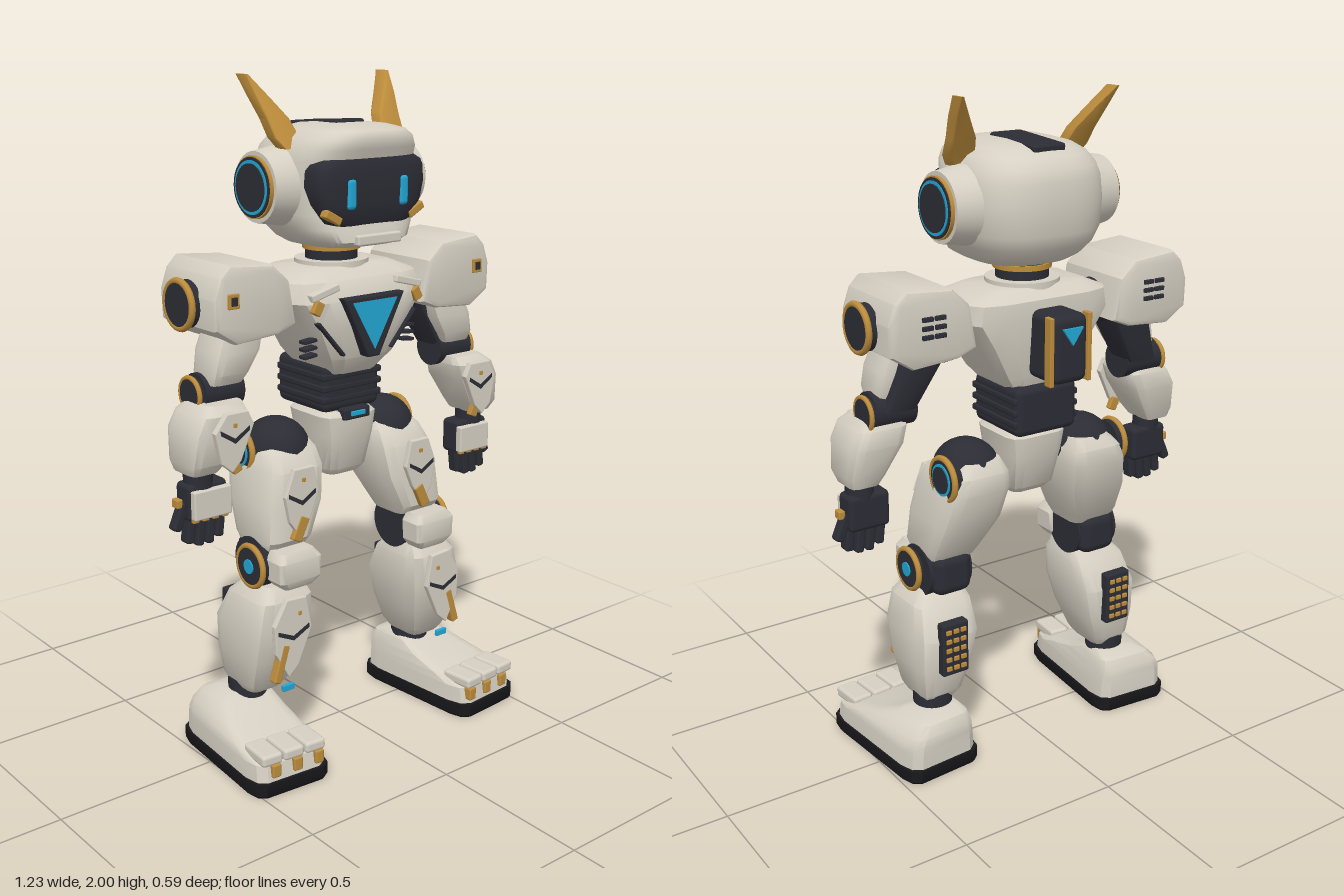
import * as THREE from 'three';
import { toCreasedNormals } from 'three/addons/utils/BufferGeometryUtils.js';
import { RoundedBoxGeometry } from 'three/addons/geometries/RoundedBoxGeometry.js';

const mat = (name, color) => Object.assign(new THREE.MeshStandardMaterial({ color }), { name });

// Unit cross-sections: rounded rectangle, and superellipse with its own front and back squareness
function roundRect(r) {
  const pts = [];
  for (let q = 0; q < 4; q++) for (let i = 0; i < 3; i++) {
    const a = (q + i / 2) * Math.PI / 2, m = (q + 0.5) * Math.PI / 2;
    pts.push([Math.sign(Math.cos(m)) * (1 - r) + r * Math.cos(a), Math.sign(Math.sin(m)) * (1 - r) + r * Math.sin(a)]);
  }
  return pts;
}
function superEllipse(front, back, n = 56) {
  return Array.from({ length: n }, (_, i) => {
    const a = i / n * 2 * Math.PI, e = i <= n / 2 ? front : back;
    return [Math.cos(a), Math.sin(a)].map(v => Math.sign(v) * Math.abs(v) ** (2 / e));
  });
}

// Skin over rows of [y, centre x, half width, front z, back z], from low to high
function loft(rows, section = roundRect(0.4), crease = 0.6) {
  const n = section.length, pos = [], idx = [];
  for (const [y, cx, hw, zf, zb] of rows)
    for (const [u, v] of section) pos.push(cx + u * hw, y, (zf + zb) / 2 + v * (zf - zb) / 2);
  const last = rows.length - 1, c = n * rows.length;
  for (const [y, cx, , zf, zb] of [rows[0], rows[last]]) pos.push(cx, y, (zf + zb) / 2);
  for (let j = 0; j < n; j++) {
    const k = (j + 1) % n;
    for (let i = 0; i < last; i++) {
      const a = i * n + j, b = i * n + k;
      idx.push(a, a + n, b, b, a + n, b + n);
    }
    idx.push(c, j, k, c + 1, last * n + k, last * n + j);
  }
  const g = new THREE.BufferGeometry();
  g.setAttribute('position', new THREE.Float32BufferAttribute(pos, 3));
  g.setIndex(idx);
  return toCreasedNormals(g, crease);
}

const box = (w, h, d, x, y, z, rz = 0, rx = 0, r = 0.2) =>
  new RoundedBoxGeometry(w, h, d, 2, Math.min(w, h, d) * r).rotateX(rx).rotateZ(rz).translate(x, y, z);
const disc = (r, x0, x1, y, z, r1 = r) =>
  new THREE.CylinderGeometry(r, r1, x1 - x0, 32).rotateZ(-Math.PI / 2).translate((x0 + x1) / 2, y, z);
const hoop = (r, tube, x, y, z) => new THREE.TorusGeometry(r, tube, 8, 32).rotateY(Math.PI / 2).translate(x, y, z);
const post = (r, y0, y1, x, z) => new THREE.CylinderGeometry(r, r, y1 - y0, 32).translate(x, (y0 + y1) / 2, z);
const plate = (pts, z, depth, bevel = 0) => new THREE.ExtrudeGeometry(
  new THREE.Shape(pts.map(p => new THREE.Vector2(...p))),
  { depth, bevelEnabled: bevel > 0, bevelSize: bevel, bevelThickness: bevel, bevelOffset: -bevel, bevelSegments: 2 }).translate(0, 0, z);
const chevron = (x, y, w, h, z) =>
  plate([[x - w, y + h], [x, y], [x + w, y + h], [x + w, y + h - 0.013], [x, y - 0.014], [x - w, y + h - 0.013]], z, 0.005);

// Mirror across x = 0, keeping faces outward
function mirrored(geo) {
  const g = geo.index ? geo.toNonIndexed() : geo.clone();
  for (const key of ['position', 'normal']) {
    const a = g.attributes[key];
    for (let i = 0; i < a.count; i += 3) {
      const p = [0, 1, 2].map(k => [a.getX(i + k), a.getY(i + k), a.getZ(i + k)]);
      p.reverse().forEach((v, k) => a.setXYZ(i + k, -v[0], v[1], v[2]));
    }
  }
  return g;
}

export function createModel() {
  const root = new THREE.Group();
  root.name = 'robot';
  const shell = mat('shell', 0xd6d0c3), dark = mat('dark', 0x2c2c35), gold = mat('gold', 0xbd8d3c);
  const cyan = mat('cyan', 0x22a7d4), rubber = mat('rubber', 0x19191c);
  const add = (name, geo, m) => {
    const mesh = new THREE.Mesh(geo, m);
    mesh.name = name;
    root.add(mesh);
  };
  const pair = (name, geo, m) => {
    add('left ' + name, geo, m);
    add('right ' + name, mirrored(geo), m);
  };
  // Round side joint: dark hub with a gold hoop
  const joint = (name, r, x0, x1, y, z) => {
    pair(name + ' hub', disc(r * 0.88, x0, x1, y, z), dark);
    pair(name + ' hoop', hoop(r * 0.87, r * 0.13, x1 - r * 0.1, y, z), gold);
  };

  // Head
  add('head', loft([[1.52, 0, 0.1, 0.1, -0.12], [1.527, 0, 0.14, 0.145, -0.155], [1.545, 0, 0.17, 0.172, -0.185],
    [1.58, 0, 0.195, 0.165, -0.218], [1.62, 0, 0.21, 0.15, -0.233], [1.7, 0, 0.216, 0.147, -0.237],
    [1.765, 0, 0.21, 0.158, -0.235], [1.8, 0, 0.2, 0.178, -0.225], [1.83, 0, 0.18, 0.183, -0.2],
    [1.85, 0, 0.15, 0.175, -0.165], [1.861, 0, 0.11, 0.13, -0.12], [1.866, 0, 0.06, 0.07, -0.06]], superEllipse(3.4, 2.6), 1), shell);
  add('visor', loft([[1.588, 0, 0.13, 0.158, 0], [1.6, 0, 0.16, 0.165, 0], [1.65, 0, 0.185, 0.171, 0],
    [1.7, 0, 0.197, 0.173, 0], [1.745, 0, 0.195, 0.171, 0], [1.762, 0, 0.188, 0.168, 0], [1.775, 0, 0.165, 0.164, 0]], superEllipse(5, 5), 0.8), dark);
  pair('eye', box(0.034, 0.086, 0.03, 0.095, 1.68, 0.162, 0, 0, 0.4), cyan);
  pair('cheek accent', box(0.06, 0.024, 0.03, 0.152, 1.619, 0.15, 0.5), gold);
  add('chin guard', box(0.16, 0.03, 0.03, 0, 1.55, 0.168), shell);
  add('crown strip', box(0.108, 0.045, 0.225, 0, 1.846, -0.063, 0, -0.06), dark);
  pair('ear', disc(0.1, 0.17, 0.275, 1.695, -0.035, 0.118), shell);
  pair('ear rim', disc(0.088, 0.27, 0.286, 1.695, -0.035), gold);
  pair('ear dish', disc(0.084, 0.27, 0.29, 1.695, -0.035), dark);
  pair('ear light', disc(0.076, 0.288, 0.292, 1.695, -0.035), cyan);
  pair('ear cap', disc(0.067, 0.288, 0.295, 1.695, -0.035), dark);
  pair('horn', loft([[1.8, 0.185, 0.03, 0.03, -0.02], [1.83, 0.193, 0.042, 0.012, -0.035], [1.88, 0.203, 0.037, -0.016, -0.065],
    [1.94, 0.231, 0.022, -0.053, -0.102], [2, 0.257, 0.004, -0.092, -0.142]], roundRect(0.25)), gold);

  // Neck and torso
  add('neck', post(0.078, 1.42, 1.55, 0, -0.04), dark);
  add('neck ring', post(0.086, 1.5, 1.515, 0, -0.04), gold);
  add('collar', post(0.11, 1.44, 1.472, 0, -0.04), shell);
  add('torso', loft([[1.145, 0, 0.085, 0.08, -0.14], [1.2, 0, 0.13, 0.12, -0.16], [1.3, 0, 0.19, 0.137, -0.172],
    [1.375, 0, 0.243, 0.137, -0.178], [1.43, 0, 0.235, 0.11, -0.175], [1.46, 0, 0.165, 0.06, -0.14]]), shell);
  add('chest frame', plate([[-0.112, 1.385], [-0.02, 1.205], [0.02, 1.205], [0.112, 1.385]], 0.12, 0.035, 0.006), dark);
  add('chest light', plate([[-0.083, 1.372], [0, 1.228], [0.083, 1.372]], 0.155, 0.008), cyan);
  pair('chest seam', box(0.14, 0.009, 0.024, 0.135, 1.268, 0.122, 0.85), dark);
  pair('chest accent', box(0.03, 0.04, 0.02, 0.185, 1.365, 0.128, 0.5), gold);
  pair('clavicle bar', box(0.1, 0.022, 0.03, 0.155, 1.405, 0.118, -0.25), shell);
  for (let i = 0; i < 3; i++) pair('rib vent', box(0.045, 0.01, 0.03, 0.185, 1.22 + i * 0.022, 0.085, -0.1), dark);
  add('backpack', box(0.12, 0.2, 0.14, 0, 1.305, -0.217), dark);
  pair('backpack rail', box(0.014, 0.2, 0.03, 0.065, 1.305, -0.27), gold);
  add('backpack light', plate([[-0.035, 1.37], [0, 1.32], [0.035, 1.37]], -0.295, 0.009), cyan);

  // Waist and pelvis
  add('waist', box(0.214, 0.15, 0.235, 0, 1.1, -0.057, 0, 0, 0.15), dark);
  for (let i = 0; i < 3; i++) add('waist rib', box(0.224, 0.02, 0.23, 0, 1.065 + i * 0.035, -0.053, 0, 0, 0.3), dark);
  add('buckle', box(0.1, 0.035, 0.04, 0, 1.018, 0.065), dark);
  add('buckle light', box(0.052, 0.014, 0.008, 0, 1.02, 0.087), cyan);
  add('pelvis', loft([[0.82, 0, 0.06, 0.03, -0.09], [0.84, 0, 0.076, 0.045, -0.11],
    [0.95, 0, 0.09, 0.07, -0.14], [1.01, 0, 0.1, 0.072, -0.145], [1.025, 0, 0.085, 0.06, -0.13]]), shell);

  // Arms
  pair('shoulder axle', disc(0.07, 0.18, 0.32, 1.36, -0.035), dark);
  pair('shoulder', toCreasedNormals(plate([[0.238, 1.325], [0.26, 1.45], [0.315, 1.5], [0.46, 1.512], [0.492, 1.48],
    [0.513, 1.42], [0.51, 1.335], [0.44, 1.29], [0.3, 1.3]], -0.16, 0.25, 0.016), 0.5), shell);
  joint('shoulder', 0.076, 0.505, 0.545, 1.395, -0.035);
  pair('shoulder bolt', box(0.036, 0.042, 0.014, 0.455, 1.415, 0.106), gold);
  pair('shoulder bolt core', box(0.02, 0.024, 0.008, 0.455, 1.415, 0.112), dark);
  for (let i = 0; i < 6; i++)
    pair('shoulder vent', box(0.034, 0.013, 0.012, 0.36 + (i % 2) * 0.04, 1.38 + Math.floor(i / 2) * 0.025, -0.178), dark);
  pair('upper arm core', loft([[1.15, 0.43, 0.05, 0.03, -0.085], [1.28, 0.37, 0.065, 0.03, -0.11], [1.35, 0.35, 0.07, 0.03, -0.11]]), dark);
  pair('upper arm', loft([[1.17, 0.437, 0.052, 0.05, -0.05], [1.2, 0.43, 0.062, 0.065, -0.06],
    [1.26, 0.405, 0.075, 0.07, -0.07], [1.33, 0.38, 0.07, 0.06, -0.07]]), shell);
  pair('elbow', disc(0.056, 0.375, 0.505, 1.145, -0.015), dark);
  joint('elbow', 0.056, 0.495, 0.525, 1.14, -0.02);
  pair('forearm', loft([[0.93, 0.53, 0.045, 0.07, -0.045], [0.96, 0.525, 0.06, 0.09, -0.055], [1.05, 0.495, 0.083, 0.105, -0.075],
    [1.1, 0.475, 0.078, 0.105, -0.07], [1.125, 0.462, 0.06, 0.08, -0.05]]), shell);
  pair('forearm plate', plate([[0.405, 1.07], [0.425, 1.11], [0.495, 1.11], [0.535, 1.06], [0.515, 0.97], [0.48, 0.94], [0.45, 0.97]], 0.108, 0.014, 0.003), shell);
  pair('forearm chevron', chevron(0.47, 1.037, 0.048, 0.03, 0.122), dark);
  pair('forearm bolt', box(0.012, 0.012, 0.006, 0.47, 1.075, 0.126), gold);
  pair('forearm accent', box(0.03, 0.042, 0.02, 0.46, 0.953, 0.105, -0.4), gold);
  pair('wrist', post(0.042, 0.87, 0.95, 0.525, 0.015), dark);
  pair('palm', box(0.13, 0.11, 0.075, 0.512, 0.845, 0.012), dark);
  pair('hand plate', box(0.125, 0.085, 0.025, 0.508, 0.842, 0.055), shell);
  for (let i = 0; i < 4; i++) {
    pair('finger', box(0.026, 0.09, 0.04, 0.465 + i * 0.033, 0.765 + (i % 3 ? -0.008 : 0.005), 0.02, 0.12, 0, 0.3), dark);
    pair('knuckle', box(0.02, 0.014, 0.014, 0.462 + i * 0.033, 0.798, 0.052), gold);
  }
  pair('thumb', box(0.028, 0.085, 0.035, 0.588, 0.805, 0.01, 0.4, 0, 0.3), dark);
  pair('thumb joint', box(0.02, 0.026, 0.03, 0.592, 0.845, 0.01), gold);

  // Legs
  pair('hip', new THREE.SphereGeometry(0.1, 24, 16).scale(1, 0.95, 1.05).translate(0.205, 0.92, -0.05), dark);
  joint('hip', 0.073, 0.28, 0.314, 0.92, -0.09);
  pair('hip light', disc(0.048, 0.31, 0.317, 0.92, -0.09), cyan);
  pair('hip cap', disc(0.04, 0.31, 0.32, 0.92, -0.09), dark);
  pair('thigh', loft([[0.65, 0.26, 0.075, 0.08, -0.07], [0.68, 0.257, 0.085, 0.1, -0.09], [0.78, 0.23, 0.105, 0.095, -0.14],
    [0.88, 0.212, 0.103, 0.08, -0.168], [0.93, 0.205, 0.092, 0.05, -0.165], [0.965, 0.195, 0.065, 0.005, -0.14]]), shell);
  pair('thigh plate', plate([[0.17, 0.82], [0.19, 0.9], [0.26, 0.9], [0.292, 0.82], [0.275, 0.74], [0.24, 0.69], [0.2, 0.75]], 0.1, 0.012, 0.003), shell);
  pair('thigh chevron', chevron(0.233, 0.802, 0.048, 0.028, 0.112), dark);
  pair('thigh bolt', box(0.012, 0.012, 0.006, 0.228, 0.865, 0.116), gold);
  pair('thigh accent', box(0.034, 0.075, 0.02, 0.238, 0.715, 0.108, 0.45), gold);
  pair('knee', disc(0.08, 0.2, 0.345, 0.605, 0.01), dark);
  pair('knee back', box(0.13, 0.13, 0.11, 0.27, 0.605, -0.035, 0, 0, 0.3), dark);
  pair('knee cap', loft([[0.548, 0.263, 0.05, 0.14, 0.07], [0.575, 0.265, 0.074, 0.155, 0.07], [0.635, 0.265, 0.076, 0.155, 0.07],
    [0.66, 0.265, 0.058, 0.14, 0.07]], roundRect(0.25)), shell);
  joint('knee', 0.07, 0.33, 0.368, 0.605, 0.032);
  pair('knee light', disc(0.022, 0.36, 0.372, 0.605, 0.032), cyan);
  pair('shin', loft([[0.205, 0.322, 0.055, 0.055, -0.085], [0.23, 0.32, 0.07, 0.075, -0.1], [0.32, 0.31, 0.093, 0.11, -0.115],
    [0.42, 0.3, 0.105, 0.135, -0.12], [0.51, 0.29, 0.095, 0.13, -0.075], [0.55, 0.28, 0.07, 0.1, -0.03]]), shell);
  pair('shin plate', plate([[0.23, 0.42], [0.25, 0.52], [0.32, 0.525], [0.365, 0.45], [0.36, 0.36], [0.315, 0.28], [0.28, 0.31]], 0.138, 0.013, 0.003), shell);
  pair('shin chevron', chevron(0.298, 0.408, 0.056, 0.026, 0.151), dark);
  pair('shin bolt', box(0.012, 0.012, 0.006, 0.275, 0.475, 0.155), gold);
  pair('shin accent', box(0.026, 0.12, 0.03, 0.34, 0.328, 0.14, -0.3 + 0.6), gold);
  pair('shin light', box(0.042, 0.019, 0.012, 0.308, 0.24, 0.137), cyan);
  pair('calf vent', box(0.09, 0.17, 0.035, 0.305, 0.395, -0.125), dark);
  for (let i = 0; i < 15; i++)
    pair('calf vent stud', box(0.018, 0.014, 0.01, 0.28 + (i % 3) * 0.025, 0.335 + Math.floor(i / 3) * 0.03, -0.143), gold);

  // Feet, toes turned slightly outward
  pair('ankle', post(0.06, 0.14, 0.225, 0.33, -0.04), dark);
  const turn = g => g.rotateY(0.08).translate(0.372, 0, 0);
  pair('sole', turn(loft([[0, 0, 0.125, 0.283, -0.17], [0.008, 0, 0.13, 0.288, -0.175], [0.045, 0, 0.13, 0.288, -0.175]], roundRect(0.25))), rubber);
  pair('foot', turn(loft([[0.045, 0, 0.125, 0.28, -0.168], [0.095, 0, 0.122, 0.272, -0.168], [0.115, 0, 0.118, 0.2, -0.167],
    [0.14, -0.005, 0.107, 0.09, -0.165], [0.17, -0.015, 0.088, 0.01, -0.15], [0.186, -0.025, 0.065, -0.02, -0.11]], roundRect(0.3))), shell);
  for (let i = 0; i < 3; i++) {
    const x = -0.073 + i * 0.073;
    pair('toe cap', turn(box(0.068, 0.035, 0.11, x, 0.115, 0.23, 0, 0, 0.3)), shell);
    pair('toe nail', turn(box(0.03, 0.042, 0.03, x - 0.012, 0.078, 0.272)), gold);
  }
  return root;
}
